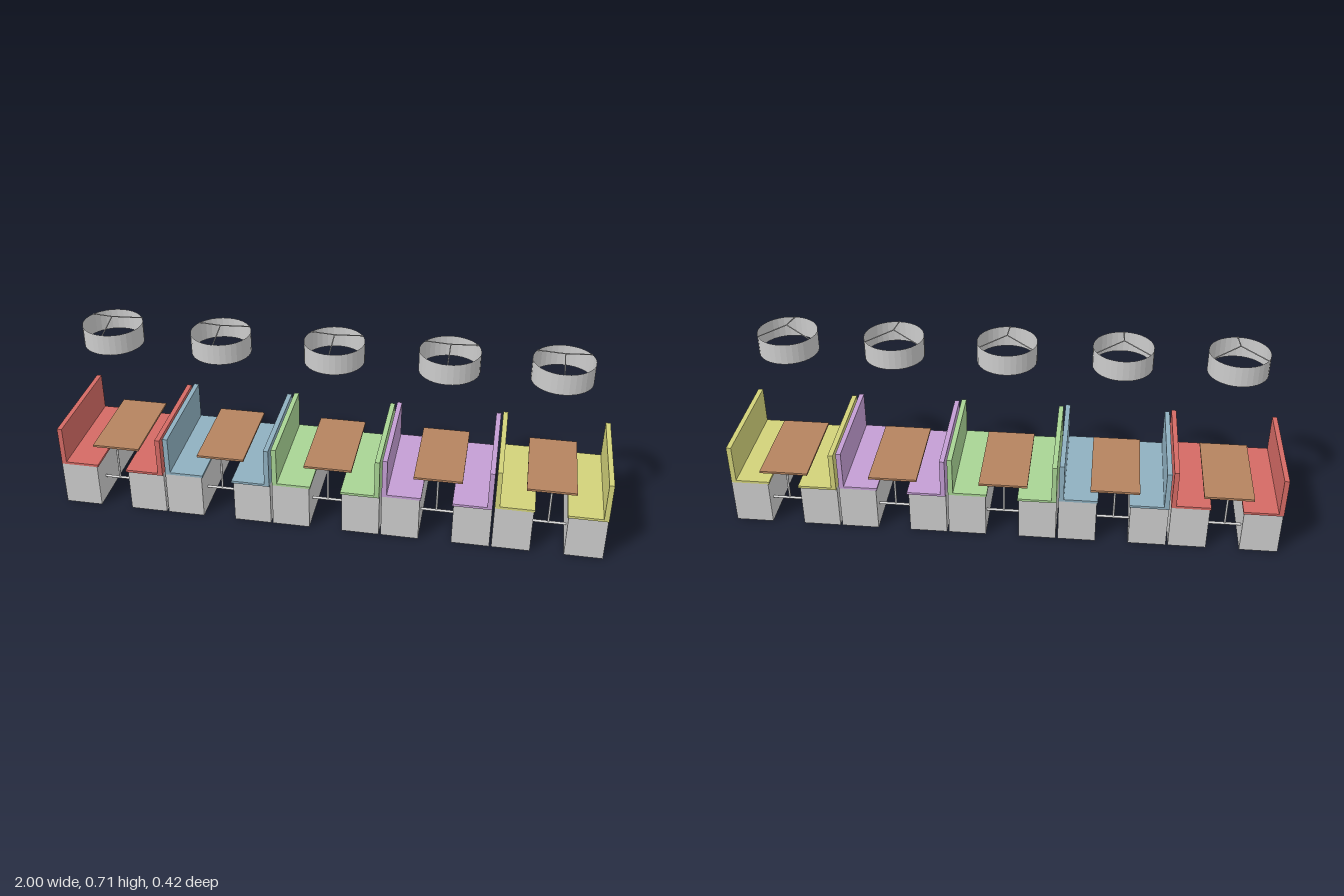
import * as THREE from 'three';

const grey = new THREE.MeshStandardMaterial({ color: 0xcccccc });
const shadeMat = new THREE.MeshStandardMaterial({ color: 0xcccccc, side: THREE.DoubleSide, flatShading: true });
const wood = new THREE.MeshStandardMaterial({ color: 0xb5835f });

// Box given by its min and max corners
function box(name, [x0, y0, z0], [x1, y1, z1], material) {
  const mesh = new THREE.Mesh(new THREE.BoxGeometry(x1 - x0, y1 - y0, z1 - z0), material);
  mesh.position.set((x0 + x1) / 2, (y0 + y1) / 2, (z0 + z1) / 2);
  mesh.name = name;
  return mesh;
}

// Thin round rod between two points
function rod(name, a, b, radius) {
  const from = new THREE.Vector3(...a), to = new THREE.Vector3(...b);
  const dir = to.clone().sub(from);
  const mesh = new THREE.Mesh(new THREE.CylinderGeometry(radius, radius, dir.length(), 10), grey);
  mesh.position.copy(from).add(to).multiplyScalar(0.5);
  mesh.quaternion.setFromUnitVectors(new THREE.Vector3(0, 1, 0), dir.normalize());
  mesh.name = name;
  return mesh;
}

// Bench on the -x side of a booth: plinth, seat pad and backrest
function makeBench(fabric) {
  const bench = new THREE.Group();
  bench.name = 'bench';
  bench.add(
    box('plinth', [-0.197, 0, -0.2], [-0.06, 0.17, 0.2], grey),
    box('seatPad', [-0.197, 0.17, -0.212], [-0.056, 0.179, 0.2], fabric),
    box('backrest', [-0.197, 0.17, -0.212], [-0.179, 0.322, 0.2], fabric)
  );
  return bench;
}

// Table top on two posts, each carried by a bar between the plinths
function makeTable() {
  const table = new THREE.Group();
  table.name = 'table';
  table.add(box('tableTop', [-0.088, 0.219, -0.2], [0.088, 0.227, 0.142], wood));
  for (const z of [0.13, -0.16]) {
    table.add(
      rod('post', [0, 0.085, z], [0, 0.22, z], 0.004),
      rod('crossBar', [-0.062, 0.085, z], [0.062, 0.085, z], 0.005)
    );
  }
  return table;
}

// Open drum shade with three sloping spokes
function makeLamp() {
  const lamp = new THREE.Group();
  lamp.name = 'pendantLamp';
  const r = 0.107;
  const shade = new THREE.Mesh(new THREE.CylinderGeometry(r, r, 0.077, 32, 1, true), shadeMat);
  shade.position.y = 0.6515;
  shade.name = 'shade';
  lamp.add(shade);
  for (let i = 0; i < 3; i++) {
    const a = Math.PI / 2 + (i * 2 * Math.PI) / 3;
    lamp.add(rod('spoke', [0, 0.713, 0], [r * Math.cos(a), 0.69, r * Math.sin(a)], 0.002));
  }
  lamp.position.z = 0.027;
  return lamp;
}

export function createModel() {
  const model = new THREE.Group();
  model.name = 'diningBooths';
  const fabrics = [0xd46a64, 0x8fb0c0, 0xa8d494, 0xc49ed4, 0xd2d27a];
  const lampX = [-0.807, -0.406, 0.003, 0.407, 0.793];
  fabrics.forEach((color, i) => {
    const fabric = new THREE.MeshStandardMaterial({ color });
    const booth = new THREE.Group();
    booth.name = 'booth';
    booth.position.x = (i - 2) * 0.4015;
    // The facing bench is the same bench turned half round
    const facing = makeBench(fabric);
    facing.rotation.y = Math.PI;
    const table = makeTable();
    table.position.x = -0.003;
    booth.add(makeBench(fabric), facing, table);
    const lamp = makeLamp();
    lamp.position.x = lampX[i];
    model.add(booth, lamp);
  });
  return model;
}
